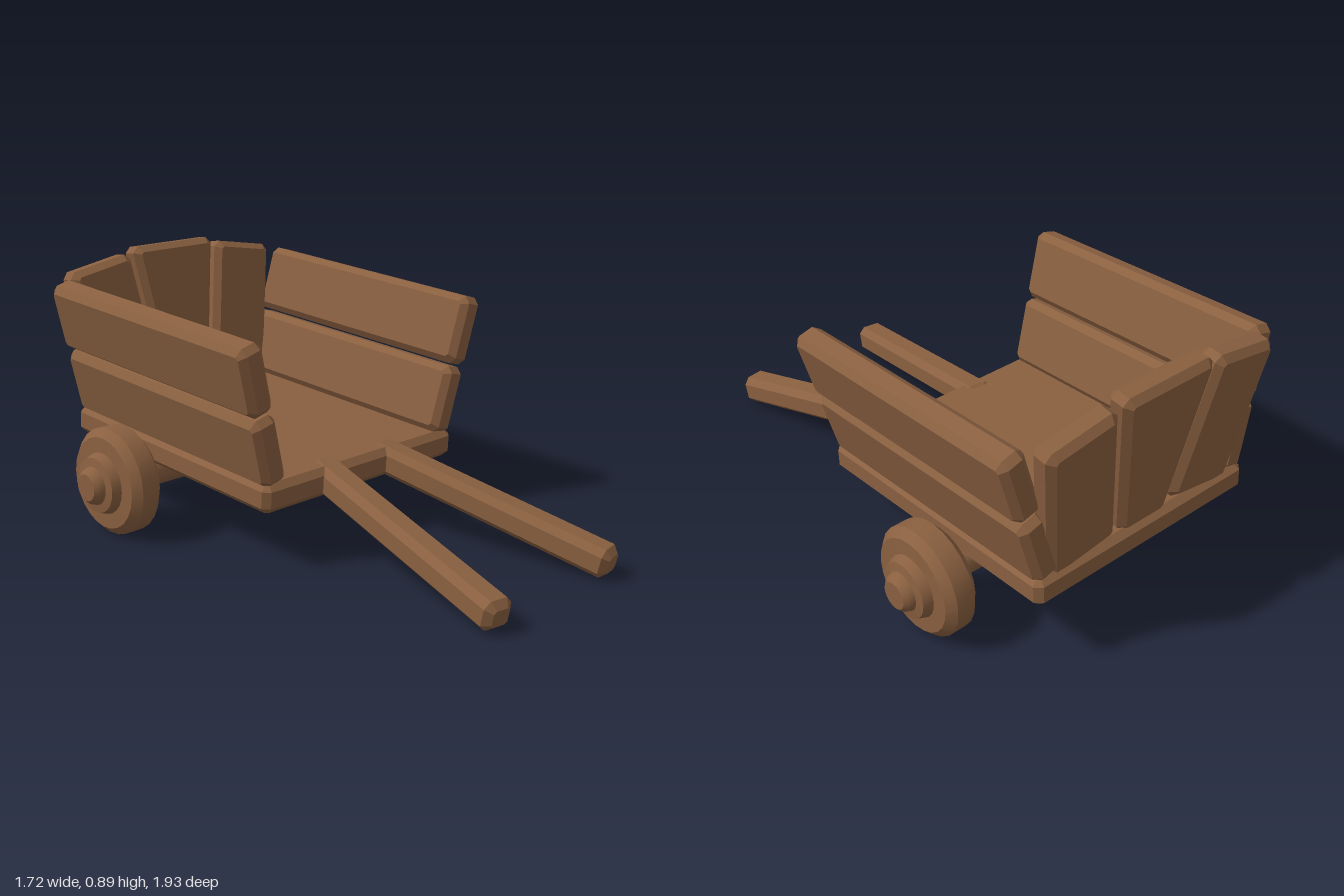
import * as THREE from 'three';
import { toCreasedNormals } from 'three/addons/utils/BufferGeometryUtils.js';

const wood = new THREE.MeshStandardMaterial({ color: 0x8a6040 });
const rad = THREE.MathUtils.degToRad;

// Chamfered plank: base at y = 0, centred on x, thickness running from z = 0 to z = depth
function plankGeometry(bottomWidth, topWidth, height, depth, bevel = 0.022) {
  const b = bottomWidth / 2, t = topWidth / 2, c = bevel;
  const shape = new THREE.Shape([
    [-b + c, 0], [b - c, 0], [b, c], [t, height - c],
    [t - c, height], [-t + c, height], [-t, height - c], [-b, c],
  ].map(([x, y]) => new THREE.Vector2(x, y)));
  return new THREE.ExtrudeGeometry(shape, {
    depth: depth - 2 * c, bevelThickness: c, bevelSize: c, bevelOffset: -c, bevelSegments: 1,
  }).translate(0, 0, c);
}

function add(parent, name, geometry) {
  const mesh = new THREE.Mesh(geometry, wood);
  mesh.name = name;
  parent.add(mesh);
  return mesh;
}

export function createModel() {
  const model = new THREE.Group();
  model.name = 'handcart';

  // The cart is turned sideways and leans forward onto its handles
  const cart = new THREE.Group();
  cart.name = 'cart';
  cart.rotation.set(rad(3.5), rad(35), 0, 'YXZ');
  cart.position.set(-0.155, 0.278, -0.264);
  model.add(cart);

  // Bed
  add(cart, 'bed', plankGeometry(0.894, 0.894, 1.01, 0.1)
    .translate(0, -0.505, -0.05).rotateX(Math.PI / 2));

  // Axle
  const axle = add(cart, 'axle', new THREE.CylinderGeometry(0.055, 0.055, 1.02, 24).rotateZ(Math.PI / 2));
  axle.position.set(0, -0.09, -0.12);

  // Wheel with stepped hub, turned around its axis
  const wheelProfile = [
    [0, 0.49], [0.15, 0.49], [0.185, 0.52], [0.185, 0.585], [0.158, 0.612], [0.106, 0.614],
    [0.095, 0.645], [0.066, 0.65], [0.06, 0.668], [0.046, 0.682], [0, 0.682],
  ].map(([r, y]) => new THREE.Vector2(r, y));
  const wheelGeometry = toCreasedNormals(new THREE.LatheGeometry(wheelProfile, 24), rad(28));

  const sidePlank = plankGeometry(1.0, 1.0, 0.24, 0.095)
    .translate(0, 0, -0.095).rotateY(Math.PI / 2);
  const backPlank = plankGeometry(0.265, 0.265, 0.525, 0.09);

  for (const side of [1, -1]) {
    const label = side > 0 ? 'left' : 'right';

    const wheel = add(cart, label + 'Wheel', wheelGeometry);
    wheel.rotation.z = -side * Math.PI / 2;
    wheel.position.set(0, -0.09, -0.12);

    // Flared side wall of two planks
    const wall = new THREE.Group();
    wall.name = label + 'Wall';
    wall.position.set(side * 0.437, 0.028, 0);
    wall.rotation.set(0, side > 0 ? 0 : Math.PI, -rad(15) * side, 'ZYX');
    cart.add(wall);
    ['lowerPlank', 'upperPlank'].forEach((name, i) => {
      add(wall, name, sidePlank).position.y = i * 0.25;
    });

    // Handle running down and outwards to the ground
    const start = new THREE.Vector3(side * 0.135 + 0.005, 0.012, 0.42);
    const end = new THREE.Vector3(side * 0.28 + 0.01, -0.136, 1.3);
    const handle = add(cart, label + 'Handle',
      plankGeometry(0.105, 0.105, 0.1, start.distanceTo(end)).translate(0, -0.05, 0));
    cart.remove(handle);
    handle.position.copy(start);
    handle.lookAt(end);
    cart.add(handle);
  }

  // Leaning back wall: tapered middle plank and two fanned outer planks
  const back = new THREE.Group();
  back.name = 'backWall';
  back.position.set(0, 0.03, -0.49);
  back.rotation.x = -rad(11);
  cart.add(back);
  add(back, 'middleBackPlank', plankGeometry(0.2, 0.365, 0.557, 0.09));
  for (const side of [1, -1]) {
    const plank = add(back, side > 0 ? 'leftBackPlank' : 'rightBackPlank', backPlank);
    plank.position.x = side * 0.247;
    plank.rotation.z = -side * rad(9.5);
  }

  return model;
}
